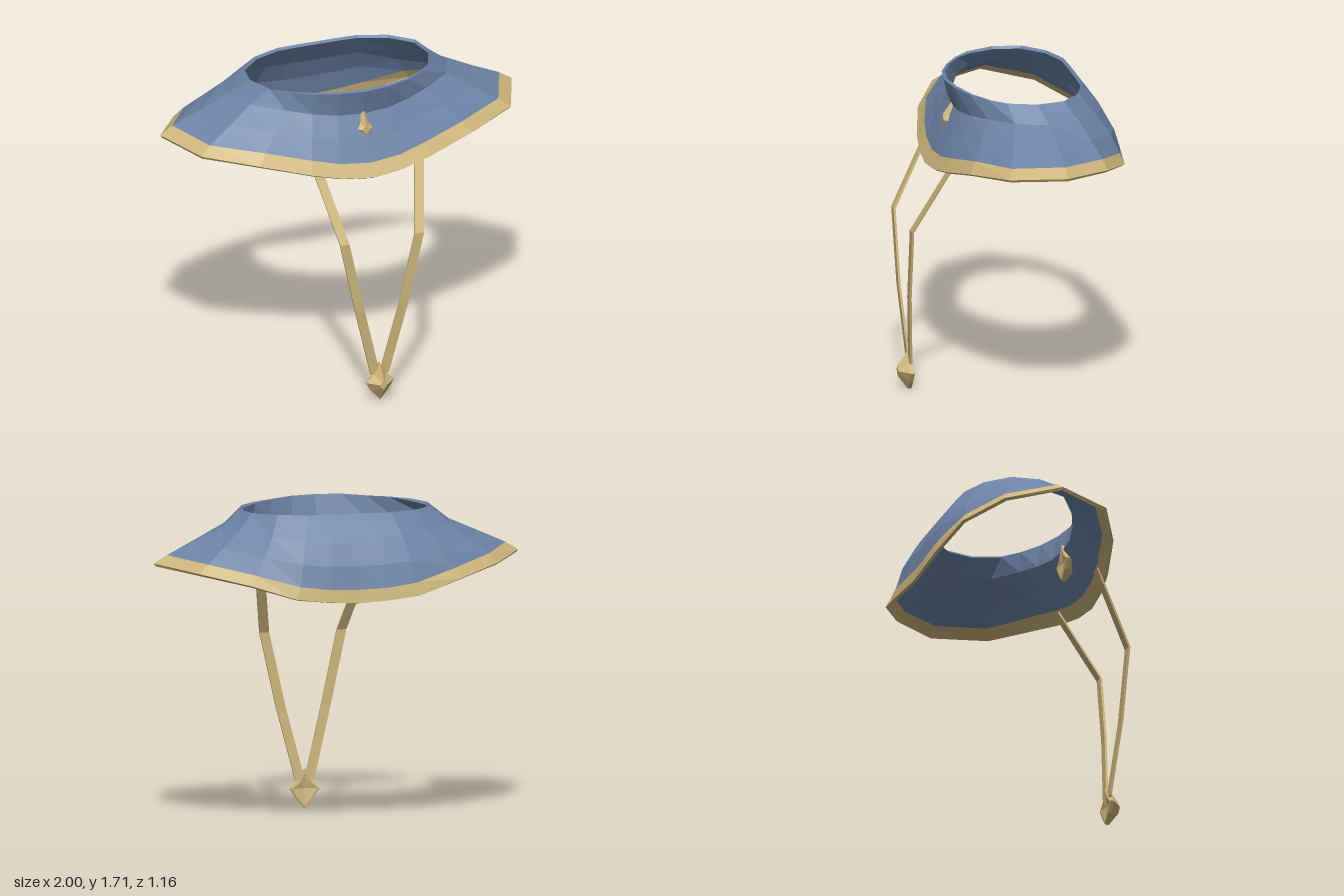
import * as THREE from 'three';

const blue = new THREE.MeshStandardMaterial({ color: 0x6c83a6, flatShading: true });
blue.name = 'slate blue cloth';
const gold = new THREE.MeshStandardMaterial({ color: 0xccb57b, flatShading: true });
gold.name = 'pale gold';

const V = (x, y, z) => new THREE.Vector3(x, y, z);

// Skin closed rings of equal length, first to last, with optional centre points as caps
function loft(rings, capStart, capEnd) {
  const n = rings[0].length, pos = [], idx = [];
  rings.flat().forEach(p => pos.push(p.x, p.y, p.z));
  for (let i = 0; i < rings.length - 1; i++) {
    for (let k = 0; k < n; k++) {
      const a = i * n + k, d = i * n + (k + 1) % n;
      idx.push(a, a + n, d + n, a, d + n, d);
    }
  }
  const addCap = (c, base, flip) => {
    const m = pos.length / 3;
    pos.push(c.x, c.y, c.z);
    for (let k = 0; k < n; k++) {
      const a = base + k, b = base + (k + 1) % n;
      idx.push(m, flip ? b : a, flip ? a : b);
    }
  };
  if (capStart) addCap(capStart, 0, false);
  if (capEnd) addCap(capEnd, (rings.length - 1) * n, true);
  const g = new THREE.BufferGeometry();
  g.setAttribute('position', new THREE.Float32BufferAttribute(pos, 3));
  g.setIndex(idx);
  g.computeVertexNormals();
  return g;
}

function mesh(name, geometry, material) {
  const g = geometry.toNonIndexed();
  g.computeVertexNormals();
  const m = new THREE.Mesh(g, material);
  m.name = name;
  return m;
}

// Half outlines of the collar, from front centre round the left side to back centre
const NECK = [[0, 1.705, .325], [.14, 1.705, .305], [.27, 1.7, .25], [.38, 1.7, .175], [.46, 1.7, .09],
  [.515, 1.7, -.06], [.49, 1.7, -.21], [.38, 1.7, -.32], [.23, 1.7, -.378], [.11, 1.7, -.382], [0, 1.7, -.382]];
const FOLD = [[0, 1.56, .28], [.14, 1.565, .27], [.27, 1.58, .235], [.4, 1.6, .18], [.56, 1.615, .07],
  [.62, 1.615, -.1], [.58, 1.61, -.27], [.43, 1.59, -.4], [.27, 1.57, -.47], [.13, 1.565, -.48], [0, 1.565, -.48]];
const SEAM = [[0, 1.32, .39], [.17, 1.335, .38], [.32, 1.37, .355], [.56, 1.425, .29], [.82, 1.455, .15],
  [.93, 1.478, -.115], [.77, 1.455, -.355], [.54, 1.405, -.5], [.32, 1.345, -.56], [.16, 1.325, -.568], [0, 1.32, -.565]];
const EDGE = [[0, 1.25, .43], [.17, 1.267, .42], [.33, 1.3, .395], [.6, 1.367, .325], [.88, 1.412, .18],
  [1, 1.435, -.11], [.82, 1.407, -.37], [.58, 1.355, -.52], [.34, 1.28, -.575], [.17, 1.26, -.58], [0, 1.25, -.577]];
// Shoulder line between fold and seam, slightly rounded over the back
const SHOULDER = FOLD.map((f, k) => f.map((v, c) =>
  (v + SEAM[k][c]) / 2 - (c === 2 && k > 6 ? 0.015 : 0)));

const fullRing = half => [
  ...half.map(p => V(...p)),
  ...half.slice(1, -1).reverse().map(([x, y, z]) => V(-x, y, z))
];

function createCollar() {
  const group = new THREE.Group();
  group.name = 'collar';
  const outer = [NECK, FOLD, SHOULDER, SEAM, EDGE].map(fullRing);
  // Lining: the outer skin pushed inward along its normals
  const normals = loft(outer).getAttribute('normal');
  const n = outer[0].length;
  const inner = outer.map((ring, i) => ring.map((p, k) =>
    p.clone().addScaledVector(new THREE.Vector3().fromBufferAttribute(normals, i * n + k), -0.018)));
  group.add(
    mesh('collarCloth', loft([...inner.slice(0, 4).reverse(), ...outer.slice(0, 4)]), blue),
    mesh('collarTrim', loft([outer[3], outer[4], inner[4], inner[3]]), gold)
  );
  return group;
}

// Flat strap hanging from the collar edge to the pendant
function createStrap(side) {
  const path = [[.295, 1.335, .34], [.212, .945, .55], [.125, .55, .543], [.025, .15, .515]];
  const w = 0.026, d = 0.006;
  const rings = path.map(([x, y, z]) => [[-w, d], [w, d], [w, -d], [-w, -d]]
    .map(([dx, dz]) => V(side * x + dx, y, z + dz)));
  const ends = [path[0], path[3]].map(([x, y, z]) => V(side * x, y, z));
  return mesh(side > 0 ? 'leftStrap' : 'rightStrap', loft(rings, ends[0], ends[1]), gold);
}

// Cut, four-pointed stud: small front face, sloping sides, thin rim and dished back
function createStud(name, y, z) {
  const outline = [[.08, 0], [.032, .042], [0, .105], [-.032, .042],
    [-.08, 0], [-.045, -.055], [0, -.107], [.045, -.055]];
  const ring = (s, depth) => outline.map(([px, py]) => V(px * s, py * s, depth));
  const rings = [ring(0.28, 0.075), ring(1, 0.02), ring(1, 0), ring(0.85, -0.002)];
  const stud = mesh(name, loft(rings, V(0, 0, 0.075), V(0, 0, 0.012)), gold);
  stud.position.set(0, y, z);
  return stud;
}

export function createModel() {
  const model = new THREE.Group();
  model.name = 'collarWithPendant';
  model.add(
    createCollar(),
    createStrap(1),
    createStrap(-1),
    createStud('pendant', 0.108, 0.503),
    createStud('collarStud', 1.487, 0.256)
  );
  return model;
}
